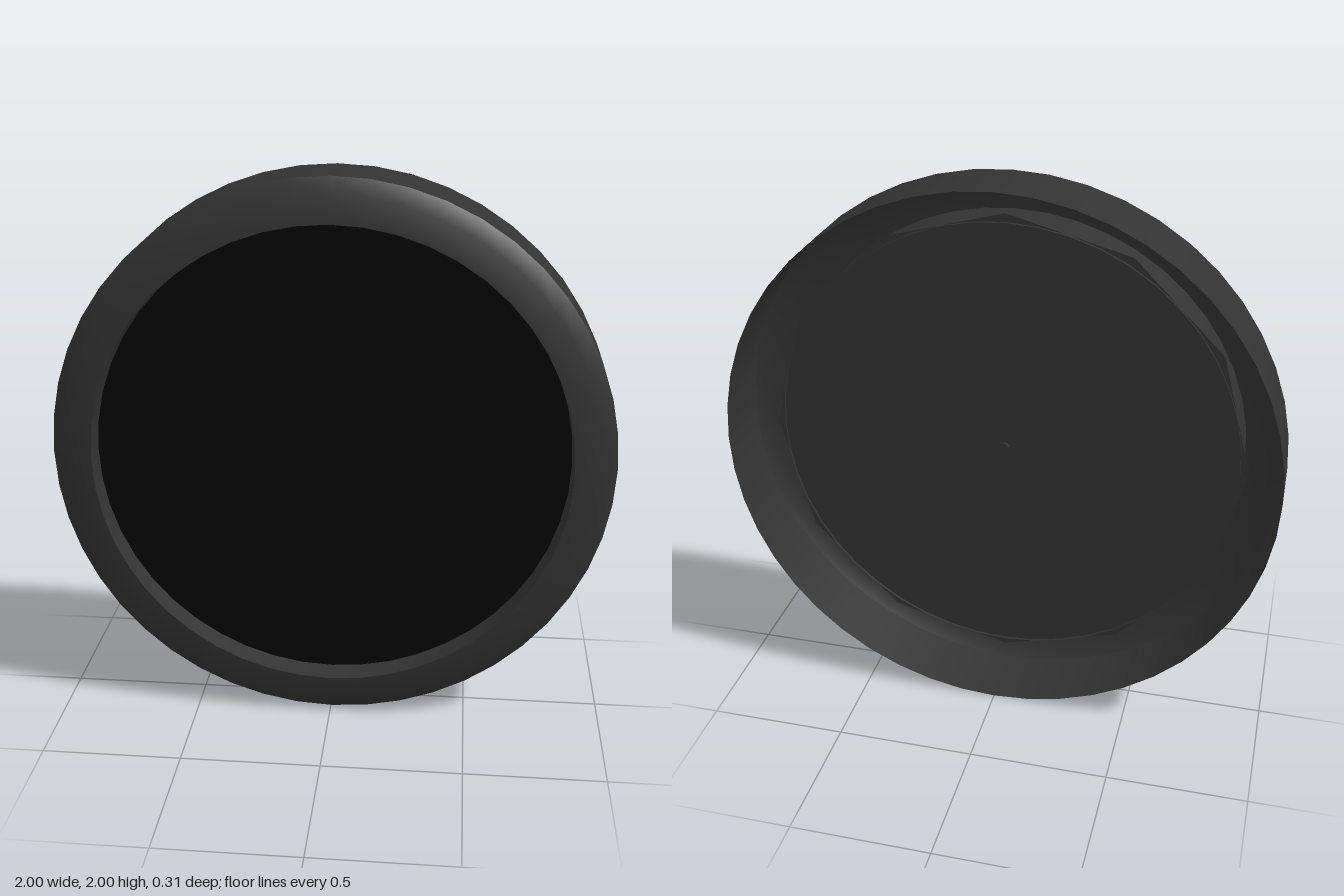
import * as THREE from 'three';

const SEGMENTS = 48;

// Dark round surround, open at the back, with a recessed black face
export function createModel() {
  const model = new THREE.Group();
  const casing = new THREE.MeshStandardMaterial({ color: 0x333333, side: THREE.DoubleSide });
  const black = new THREE.MeshStandardMaterial({ color: 0x050505 });

  const add = (name, geometry, material, z = 0) => {
    const mesh = new THREE.Mesh(geometry, material);
    mesh.name = name;
    mesh.position.set(0, 1, z);
    model.add(mesh);
    return mesh;
  };

  // Turns a [radius, z] profile around the z axis
  const turn = (profile) =>
    new THREE.LatheGeometry(profile.map(([r, z]) => new THREE.Vector2(r, z)), SEGMENTS).rotateX(Math.PI / 2);

  // Thin shell in three bands, so the edges between them stay sharp
  add('outerWall', turn([[1, -0.155], [1, 0.1]]), casing);
  add('frontBezel', turn([[1, 0.1], [0.945, 0.142], [0.85, 0.155]]), casing);
  add('recessWall', turn([[0.85, 0.155], [0.845, 0.01]]), casing);

  // Recessed face
  add('face', new THREE.CircleGeometry(0.846, SEGMENTS), black, 0.065);

  // Twelve-sided backing plate with a small central pin
  add('backPlate', new THREE.CircleGeometry(0.875, 12), casing, 0.02);
  add('centrePin', new THREE.CylinderGeometry(0.018, 0.018, 0.02, 12).rotateX(Math.PI / 2), casing, 0.015);

  return model;
}
